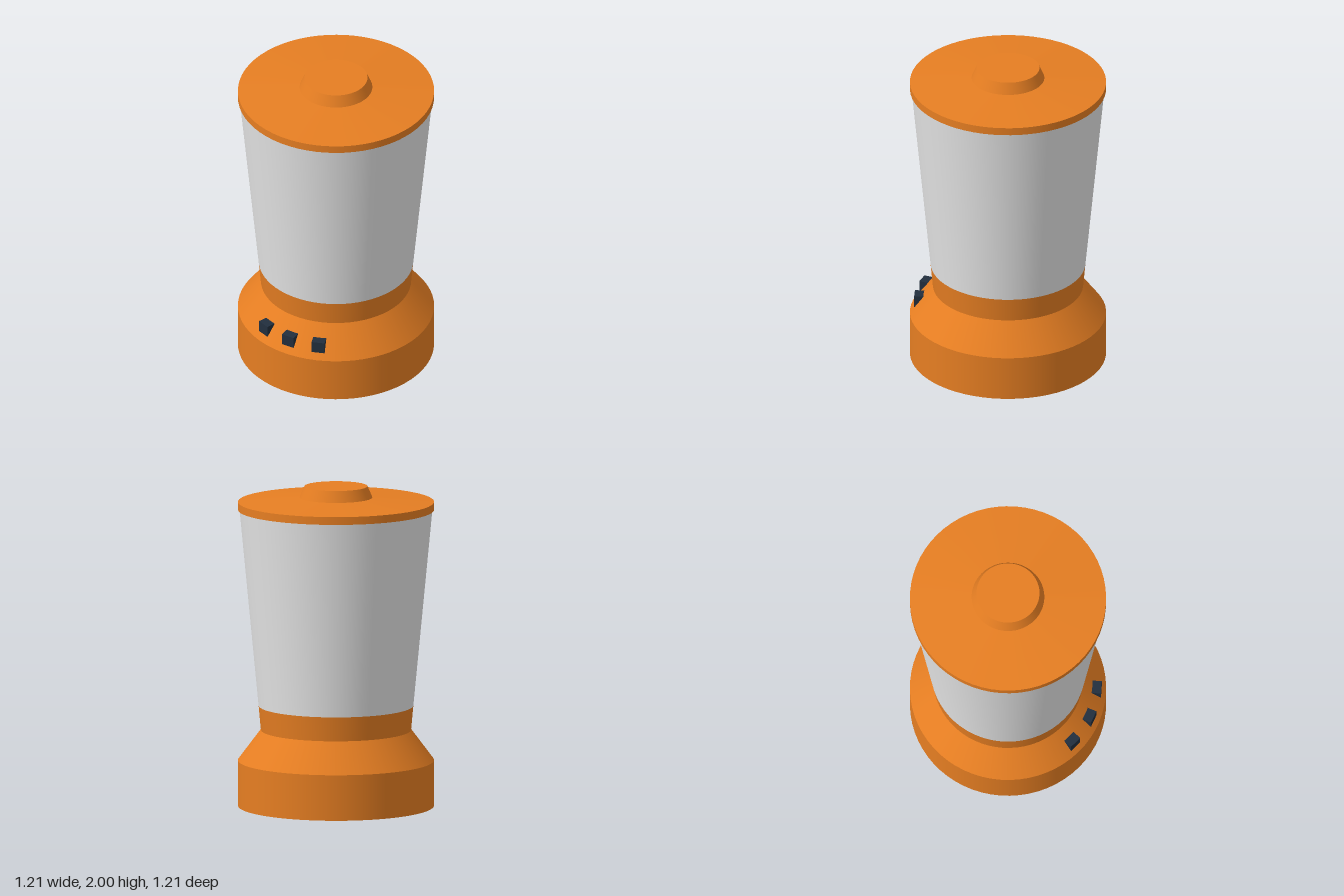
import * as THREE from 'three';

const SIDES = 64;

export function createModel() {
  const model = new THREE.Group();
  model.name = 'blender';

  const orange = new THREE.MeshStandardMaterial({ color: 0xe67e22 });
  orange.name = 'orange plastic';
  const glass = new THREE.MeshStandardMaterial({ color: 0xe6e6e6 });
  glass.name = 'pale jar';
  const dark = new THREE.MeshStandardMaterial({ color: 0x222f3e });
  dark.name = 'dark buttons';

  // Round section between two heights; separate sections keep the rims sharp
  function section(name, material, rBottom, rTop, y0, y1, open = false) {
    const geometry = new THREE.CylinderGeometry(rTop, rBottom, y1 - y0, SIDES, 1, open);
    geometry.translate(0, (y0 + y1) / 2, 0);
    const mesh = new THREE.Mesh(geometry, material);
    mesh.name = name;
    model.add(mesh);
  }

  // Motor base and collar
  section('base', orange, 0.607, 0.607, 0, 0.285);
  section('baseShoulder', orange, 0.607, 0.465, 0.285, 0.475, true);
  section('jarCollar', orange, 0.465, 0.479, 0.475, 0.627, true);

  // Tapered jar
  section('jar', glass, 0.479, 0.597, 0.627, 1.855, true);

  // Lid with a sloping top and a cap
  section('lidRim', orange, 0.607, 0.607, 1.853, 1.902);
  section('lidTop', orange, 0.607, 0.225, 1.902, 1.93, true);
  section('lidCap', orange, 0.225, 0.195, 1.93, 2);

  // Buttons fanned around the shoulder from the front towards the left
  const buttonGeometry = new THREE.BoxGeometry(0.082, 0.074, 0.08);
  for (let i = 0; i < 3; i++) {
    const angle = THREE.MathUtils.degToRad(20 * i);
    const button = new THREE.Mesh(buttonGeometry, dark);
    button.name = `button${i + 1}`;
    button.position.set(Math.sin(angle) * 0.539, 0.361, Math.cos(angle) * 0.539);
    button.rotation.y = angle;
    model.add(button);
  }

  return model;
}
